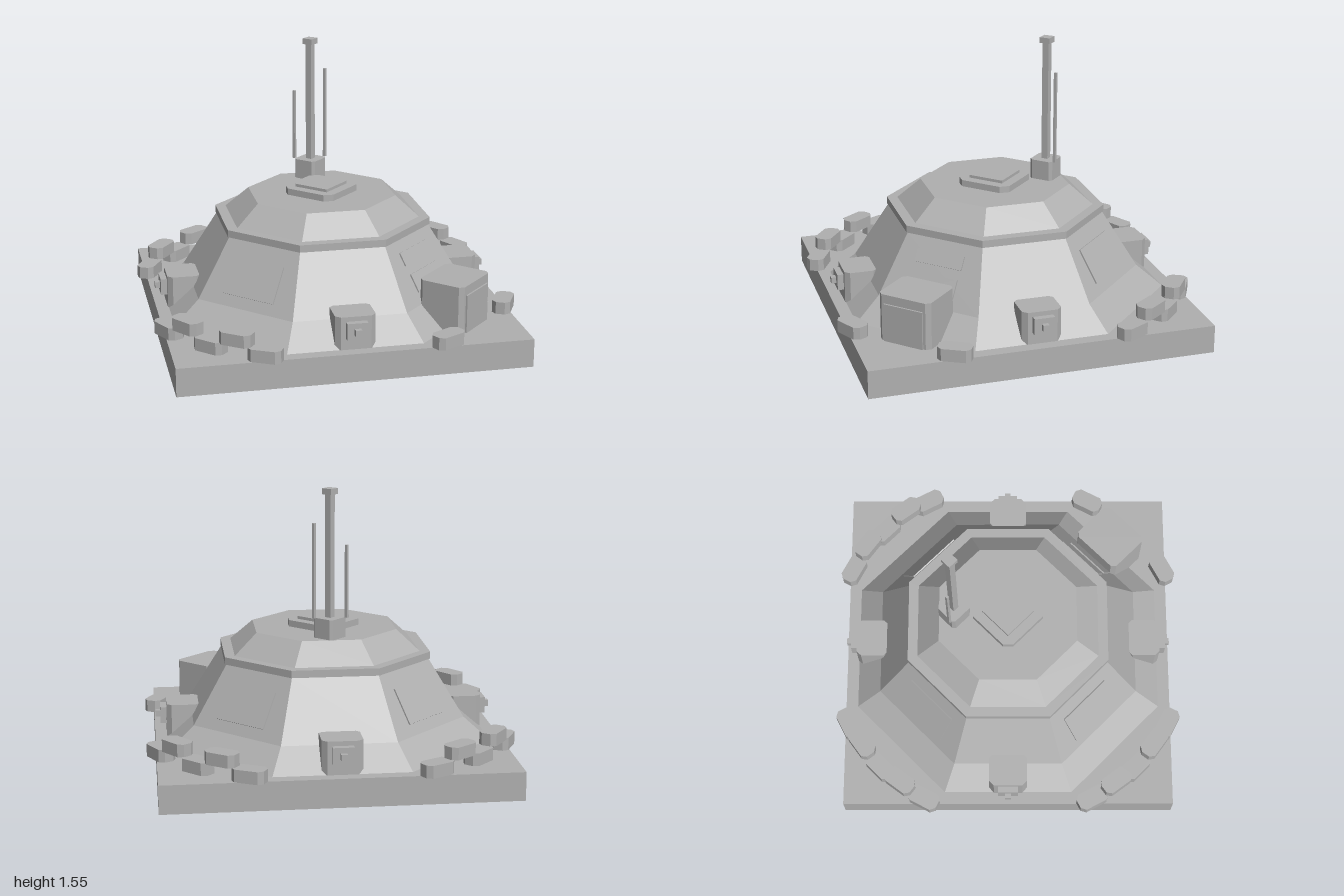
import * as THREE from 'three';

const BASE = 0.155;            // top of the foundation
const DIAG = Math.PI / 4;

export function createModel() {
  const model = new THREE.Group();
  model.name = 'bunker';
  const concrete = new THREE.MeshStandardMaterial({ color: 0xb0b0b0, flatShading: true });
  concrete.name = 'concrete grey';

  const add = (parent, name, geometry, x = 0, y = 0, z = 0) => {
    const mesh = new THREE.Mesh(geometry, concrete);
    mesh.name = name;
    mesh.position.set(x, y, z);
    parent.add(mesh);
    return mesh;
  };

  // Group turned about the centre, its +z pointing outwards
  const spoke = (name, angle) => {
    const group = new THREE.Group();
    group.name = name;
    group.rotation.y = angle;
    model.add(group);
    return group;
  };

  // Box with cut vertical corners, standing on y = 0
  const cutBox = (w, h, d, c) => {
    const a = w / 2, b = d / 2;
    const outline = [[a, c - b], [a, b - c], [a - c, b], [c - a, b],
      [-a, b - c], [-a, c - b], [c - a, -b], [a - c, -b]];
    const shape = new THREE.Shape(outline.map(([x, y]) => new THREE.Vector2(x, y)));
    return new THREE.ExtrudeGeometry(shape, { depth: h, bevelEnabled: false }).rotateX(-Math.PI / 2);
  };

  // Eight-sided shell from a profile of flat-to-centre distances and heights
  const octagon = (profile) => new THREE.LatheGeometry(
    profile.map(([r, y]) => new THREE.Vector2(r / Math.cos(Math.PI / 8), y)), 8, Math.PI / 8);

  // Foundation and dome
  add(model, 'foundation', new THREE.BoxGeometry(1.89, BASE, 1.89), 0, BASE / 2, 0);
  add(model, 'domeSkirt', octagon([[0.877, BASE], [0.74, 0.275]]));
  add(model, 'domeWall', octagon([[0.74, 0.275], [0.555, 0.59]]));
  add(model, 'domeRim', octagon([[0.54, 0.59], [0.563, 0.59], [0.563, 0.63], [0.508, 0.63]]));
  add(model, 'domeRoof', octagon([[0.508, 0.63], [0.385, 0.745], [0, 0.745]]));

  // Roof hatch
  add(model, 'hatchFrame', cutBox(0.315, 0.036, 0.315, 0.04), 0, 0.745, 0).rotation.y = DIAG;
  add(model, 'hatchLid', new THREE.BoxGeometry(0.205, 0.016, 0.205), 0, 0.789, 0).rotation.y = DIAG;

  // Antenna mast with two whips
  const antenna = new THREE.Group();
  antenna.name = 'antenna';
  antenna.position.z = -0.3;
  model.add(antenna);
  add(antenna, 'antennaBase', cutBox(0.135, 0.11, 0.135, 0.015), 0, 0.745, 0).rotation.y = DIAG;
  add(antenna, 'mast', new THREE.BoxGeometry(0.037, 0.665, 0.037), 0, 1.1875, 0).rotation.y = DIAG;
  add(antenna, 'mastCap', new THREE.BoxGeometry(0.06, 0.032, 0.06), 0, 1.536, 0).rotation.y = DIAG;
  for (const [x, top] of [[-0.088, 1.25], [0.088, 1.37]]) {
    add(antenna, 'whip', new THREE.BoxGeometry(0.015, top - 0.855, 0.015), x, (top + 0.855) / 2, -0.022)
      .rotation.y = DIAG;
  }

  // Plates lying on the sloping diagonal walls
  const slope = 0.185 / 0.315;
  const wallPlate = (group, width, y0, y1) => {
    const y = (y0 + y1) / 2;
    const height = (y1 - y0) * Math.hypot(1, slope);
    const plate = add(group, 'wallPlate', new THREE.BoxGeometry(width, height, 0.016),
      0, y, 0.74 - (y - 0.275) * slope);
    plate.rotation.x = -Math.atan(slope);
  };
  for (const k of [3, 5, 7]) wallPlate(spoke('wallPanel', k * DIAG), 0.325, 0.33, 0.505);

  // Entrance in the front left corner
  const entrance = spoke('entrance', DIAG);
  wallPlate(entrance, 0.285, 0.465, 0.53);
  wallPlate(entrance, 0.27, 0.33, 0.42);
  add(entrance, 'porch', cutBox(0.31, 0.26, 0.265, 0.023), 0, BASE, 0.854);
  add(entrance, 'door', new THREE.BoxGeometry(0.234, 0.21, 0.02), 0, BASE + 0.105, 0.986);

  // Gun housings on the four sides
  for (let k = 0; k < 4; k++) {
    const gun = spoke('gunPost', k * Math.PI / 2);
    add(gun, 'gunHousing', cutBox(0.216, 0.18, 0.184, 0.027), 0, BASE, 0.789);
    add(gun, 'gunPlate', new THREE.BoxGeometry(0.112, 0.09, 0.05), 0, 0.265, 0.89);
    add(gun, 'gunMuzzle', new THREE.BoxGeometry(0.034, 0.034, 0.05), 0, 0.264, 0.917);
  }

  // Sandbags: three below and two above at each corner, only the end ones beside the door
  const STEP = THREE.MathUtils.degToRad(8.7);
  for (let corner = 0; corner < 4; corner++) {
    const steps = corner === 0 ? [-2, 2] : [-2, -1, 0, 1, 2];
    for (const i of steps) {
      const y = i % 2 ? 0.222 : BASE;
      const ring = spoke('sandbags', DIAG + corner * Math.PI / 2 + i * STEP);
      add(ring, 'sandbag', cutBox(0.18, 0.068, 0.1, 0.025), 0, y, 1.04);
    }
  }
  return model;
}
